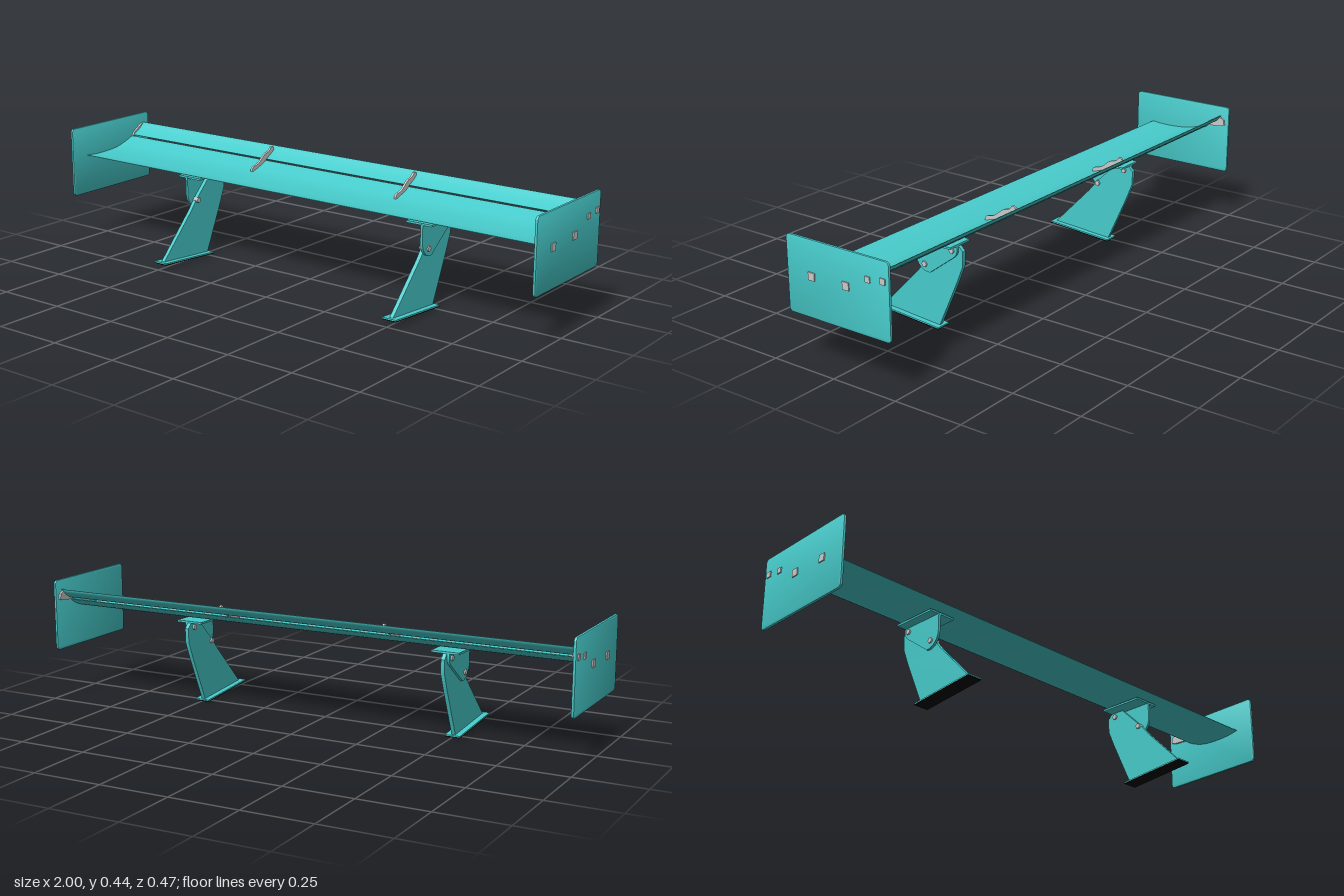
import * as THREE from 'three';
import { toCreasedNormals } from 'three/addons/utils/BufferGeometryUtils.js';

const teal = new THREE.MeshStandardMaterial({ color: 0x48cccc });
const grey = new THREE.MeshStandardMaterial({ color: 0xcccccc });
const black = new THREE.MeshStandardMaterial({ color: 0x000000 });

// Extrudes a side outline drawn in (z, y) along x, centred on the given x
function sidePart(name, shape, x, width, material, bevel = 0) {
  const geo = new THREE.ExtrudeGeometry(shape, {
    depth: width - 2 * bevel, bevelEnabled: bevel > 0, bevelThickness: bevel,
    bevelSize: bevel, bevelOffset: -bevel, bevelSegments: 2, curveSegments: 8,
  });
  geo.translate(0, 0, bevel - width / 2).rotateY(-Math.PI / 2).translate(x, 0, 0);
  const mesh = new THREE.Mesh(toCreasedNormals(geo, 0.6), material);
  mesh.name = name;
  return mesh;
}

const polygon = (pts) => new THREE.Shape(pts.map(([z, y]) => new THREE.Vector2(z, y)));

// Closed aerofoil: a smooth camber line thickened by a tapering amount
function aerofoil(camber, thickness, steps) {
  const curve = new THREE.SplineCurve(camber.map(([z, y]) => new THREE.Vector2(z, y)));
  const upper = [], lower = [];
  for (let i = 0; i <= steps; i++) {
    const t = i / steps;
    const p = curve.getPoint(t), d = curve.getTangent(t);
    const h = thickness * (0.12 + 1.9 * Math.sqrt(t) * (1 - t)) * 0.5;
    upper.push(new THREE.Vector2(p.x + d.y * h, p.y - d.x * h));
    lower.push(new THREE.Vector2(p.x - d.y * h, p.y + d.x * h));
  }
  return new THREE.Shape([...upper, ...lower.reverse()]);
}

function roundedRect(z0, z1, y0, y1, r) {
  const s = new THREE.Shape();
  s.moveTo(z0 + r, y0);
  s.lineTo(z1 - r, y0);
  s.absarc(z1 - r, y0 + r, r, -Math.PI / 2, 0);
  s.absarc(z1 - r, y1 - r, r, 0, Math.PI / 2);
  s.absarc(z0 + r, y1 - r, r, Math.PI / 2, Math.PI);
  s.absarc(z0 + r, y0 + r, r, Math.PI, Math.PI * 1.5);
  return s;
}

function box(name, size, pos, material, tilt = 0) {
  const mesh = new THREE.Mesh(new THREE.BoxGeometry(...size), material);
  mesh.position.set(...pos);
  mesh.rotation.x = tilt;
  mesh.name = name;
  return mesh;
}

function makeStrut(side) {
  const g = new THREE.Group();
  g.name = side > 0 ? 'leftStrut' : 'rightStrut';
  const x = side * 0.5;
  // Swept upright blade
  g.add(sidePart('strutBlade', polygon([
    [0.226, 0.022], [0.075, 0.18], [0.04, 0.222], [-0.045, 0.307], [-0.1, 0.307],
    [-0.117, 0.29], [-0.116, 0.24], [-0.092, 0.18], [-0.014, 0.005],
  ]), x, 0.014, teal));
  // Sloping foot with a dark pad beneath
  g.add(box('foot', [0.055, 0.004, 0.263], [x, 0.0145, 0.1065], teal, -0.072));
  g.add(box('footPad', [0.055, 0.003, 0.262], [x, 0.011, 0.1065], black, -0.072));
  // Rounded hanger plate on the outer face
  const hanger = new THREE.Shape();
  hanger.moveTo(0.072, 0.308);
  hanger.lineTo(0.072, 0.245);
  hanger.bezierCurveTo(0.072, 0.21, 0.045, 0.187, 0.015, 0.19);
  hanger.lineTo(-0.085, 0.265);
  hanger.quadraticCurveTo(-0.105, 0.28, -0.1, 0.308);
  g.add(sidePart('hangerPlate', hanger, x + side * 0.012, 0.009, teal));
  // Mounting flange under the wing
  g.add(box('mountFlange', [0.1, 0.007, 0.17], [x, 0.309, -0.015], teal, 0.02));
  // Bolts through blade and hanger
  for (const [z, y] of [[0.035, 0.217], [-0.08, 0.29]]) {
    const bolt = new THREE.Mesh(new THREE.CylinderGeometry(0.01, 0.01, 0.036, 6), grey);
    bolt.rotation.z = Math.PI / 2;
    bolt.position.set(x + side * 0.004, y, z);
    bolt.name = 'strutBolt';
    g.add(bolt);
  }
  return g;
}

function makeEnd(side) {
  const g = new THREE.Group();
  g.name = side > 0 ? 'leftEnd' : 'rightEnd';
  g.add(sidePart('endPlate', roundedRect(-0.237, 0.178, 0.181, 0.441, 0.014),
    side * 0.991, 0.01, teal, 0.003));
  // Square bolt heads on the outer face
  for (const [z, y, s] of [[0.075, 0.321, 0.026], [-0.065, 0.325, 0.026],
    [-0.154, 0.368, 0.019], [-0.213, 0.376, 0.02]]) {
    g.add(box('boltHead', [0.006, s, s], [side * 0.997, y, z], grey));
  }
  // Inner tab that sets the flap angle
  g.add(sidePart('flapTab', polygon([
    [-0.14, 0.36], [-0.15, 0.375], [-0.195, 0.403], [-0.218, 0.39], [-0.222, 0.37], [-0.205, 0.364],
  ]), side * 0.982, 0.008, grey));
  return g;
}

export function createModel() {
  const model = new THREE.Group();
  model.name = 'rearWing';

  // Main plane and rear flap, separated by a slot
  model.add(sidePart('mainPlane', aerofoil([
    [0.105, 0.328], [0.06, 0.322], [0, 0.321], [-0.06, 0.326], [-0.11, 0.341], [-0.146, 0.358],
  ].reverse(), 0.013, 20), 0, 1.974, teal));
  model.add(sidePart('flap', aerofoil([
    [-0.143, 0.364], [-0.165, 0.373], [-0.187, 0.387], [-0.203, 0.404],
  ].reverse(), 0.008, 10), 0, 1.974, teal));

  for (const side of [1, -1]) {
    model.add(makeStrut(side), makeEnd(side));
    // S-shaped link joining main plane and flap
    const link = new THREE.Shape();
    link.moveTo(-0.062, 0.33);
    link.quadraticCurveTo(-0.058, 0.347, -0.075, 0.35);
    link.bezierCurveTo(-0.115, 0.353, -0.12, 0.385, -0.15, 0.388);
    link.quadraticCurveTo(-0.165, 0.39, -0.172, 0.404);
    link.quadraticCurveTo(-0.188, 0.408, -0.188, 0.388);
    link.lineTo(-0.155, 0.368);
    link.bezierCurveTo(-0.13, 0.362, -0.12, 0.338, -0.09, 0.332);
    model.add(sidePart('slotLink', link, side * 0.315, 0.008, grey));
  }
  return model;
}
